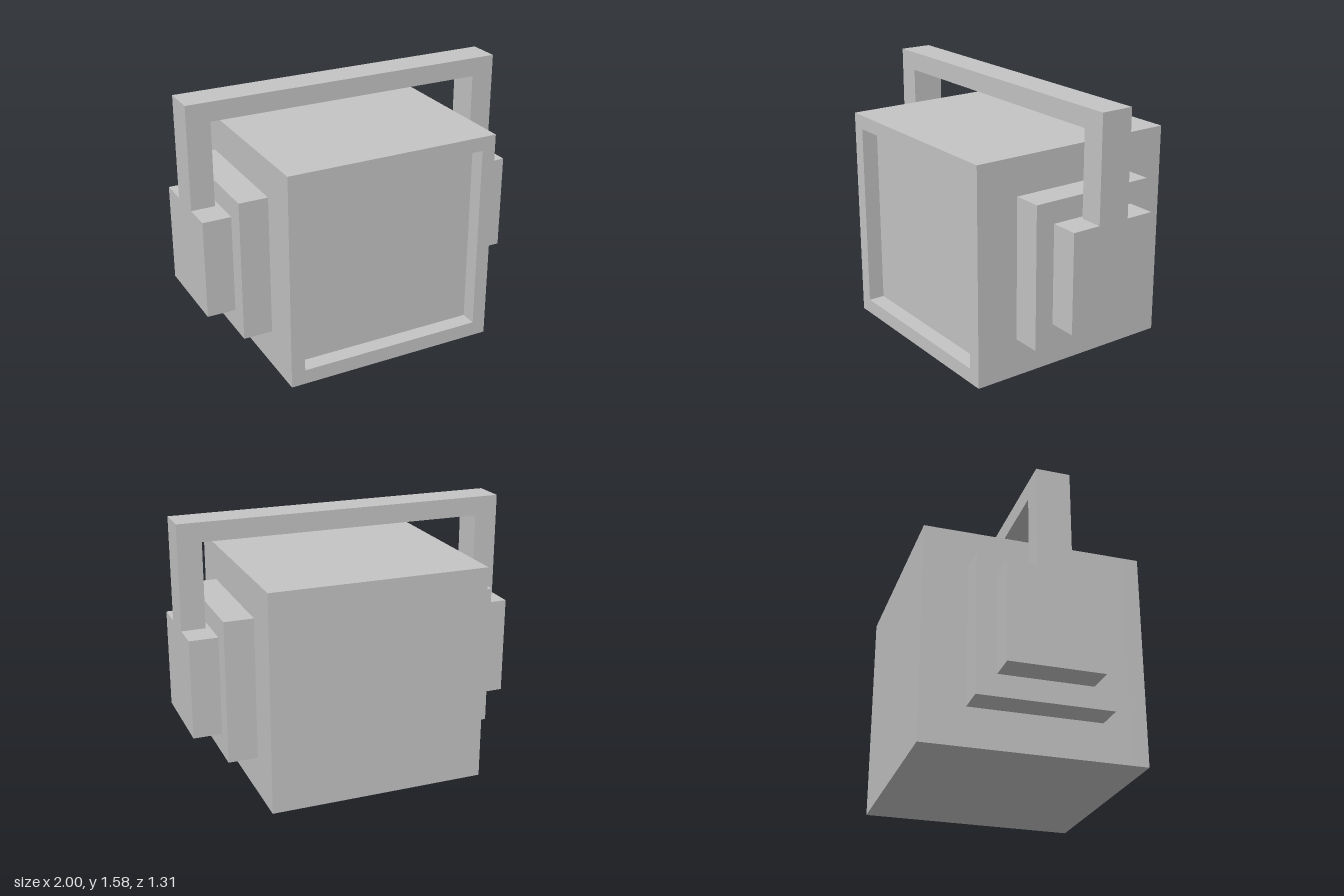
import * as THREE from 'three';

export function createModel() {
  const model = new THREE.Group();
  model.name = 'headWithHeadphones';
  const grey = new THREE.MeshStandardMaterial({ color: 0xc4c4c4 });
  grey.name = 'grey';

  const add = (name, geometry) => {
    const mesh = new THREE.Mesh(geometry, grey);
    mesh.name = name;
    model.add(mesh);
  };
  // Box given by its lower and upper bounds
  const box = (name, [x0, y0, z0], [x1, y1, z1]) =>
    add(name, new THREE.BoxGeometry(x1 - x0, y1 - y0, z1 - z0)
      .translate((x0 + x1) / 2, (y0 + y1) / 2, (z0 + z1) / 2));
  const points = (list) => list.map(([x, y]) => new THREE.Vector2(x, y));
  const extrude = (shape, z0, z1) =>
    new THREE.ExtrudeGeometry(shape, { depth: z1 - z0, bevelEnabled: false }).translate(0, 0, z0);

  // Cubic head, its front face sunk behind a raised rim
  const half = 0.655, recess = 0.555;
  box('head', [-half, 0, -half], [half, 1.31, recess]);
  const rim = new THREE.Shape(points([[-half, 0], [half, 0], [half, 1.31], [-half, 1.31]]));
  rim.holes.push(new THREE.Path(points([[-0.57, 0.09], [-0.57, 1.225], [0.57, 1.225], [0.57, 0.09]])));
  add('faceRim', extrude(rim, recess, half));

  // Stepped ear cups on both sides
  for (const [side, s] of [['left', 1], ['right', -1]]) {
    const cup = (name, a, b, y0, y1, z) =>
      box(side + name, [Math.min(s * a, s * b), y0, -z], [Math.max(s * a, s * b), y1, z]);
    cup('EarPad', half, 0.83, 0.23, 1.085, 0.393);
    cup('EarCup', 0.83, 1, 0.36, 0.955, 0.275);
  }

  // Square headband joining the cups
  const band = new THREE.Shape(points([
    [-1, 0.955], [-0.857, 0.955], [-0.857, 1.465], [0.857, 1.465],
    [0.857, 0.955], [1, 0.955], [1, 1.58], [-1, 1.58],
  ]));
  add('headband', extrude(band, -0.1, 0.1));

  return model;
}
